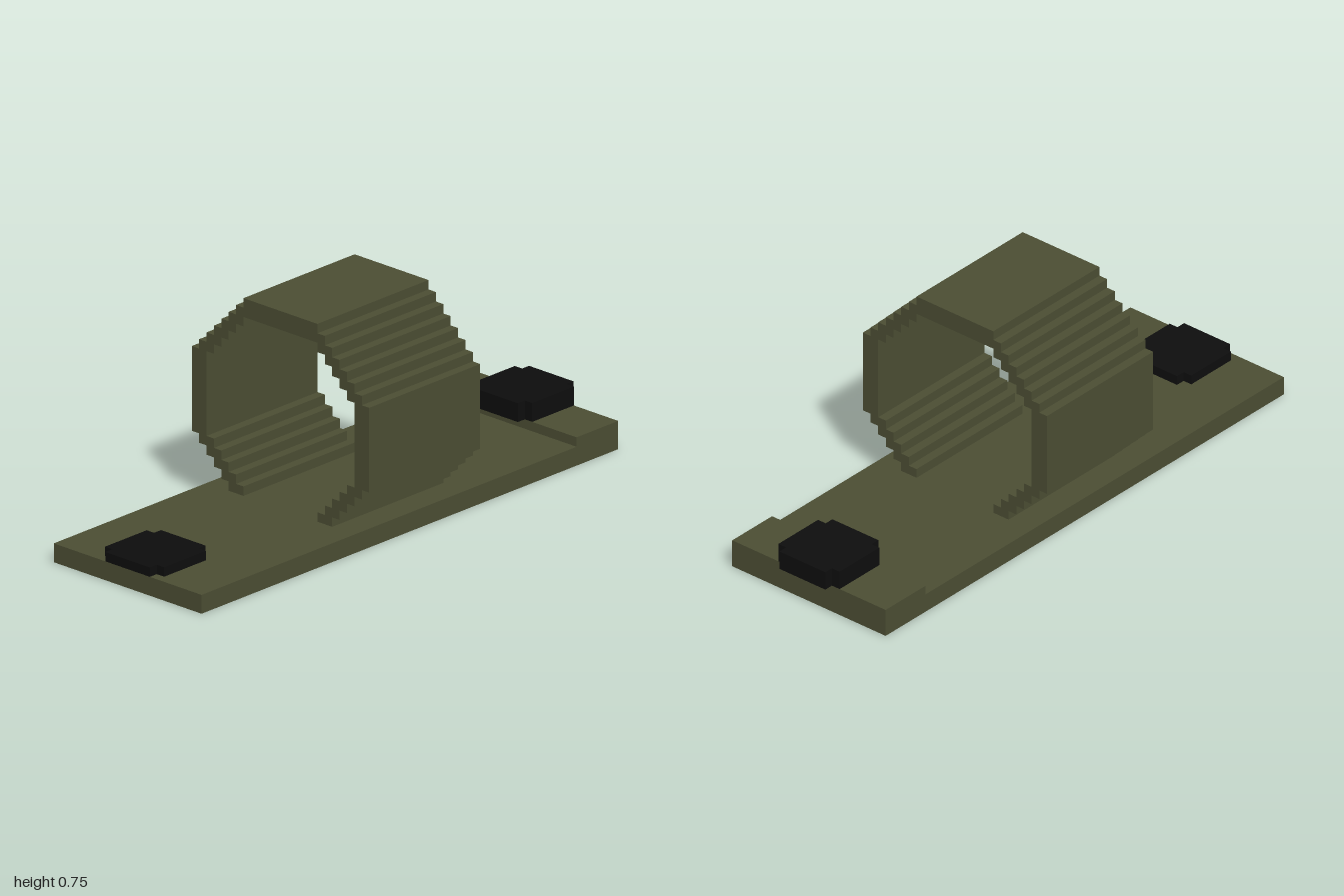
import * as THREE from 'three';

const U = 2 / 61; // one grid cell

export function createModel() {
  const olive = new THREE.MeshStandardMaterial({ color: 0x4b4d33 });
  olive.name = 'olive';
  const black = new THREE.MeshStandardMaterial({ color: 0x0d0d0d });
  black.name = 'black';

  const model = new THREE.Group();
  model.name = 'ringMount';

  // Extrude a closed outline given in grid cells
  const extrude = (name, points, depth, material) => {
    const shape = new THREE.Shape(points.map(([x, y]) => new THREE.Vector2(x * U, y * U)));
    const geometry = new THREE.ExtrudeGeometry(shape, { depth: depth * U, bevelEnabled: false });
    const mesh = new THREE.Mesh(geometry, material);
    mesh.name = name;
    model.add(mesh);
    return mesh;
  };

  // Base plate with a raised step at its left end
  const base = extrude('basePlate',
    [[0, 0], [60, 0], [60, 3], [54, 3], [54, 2], [0, 2]], 20, olive);
  base.position.set(-1, 0, -10 * U);

  // Stepped ring: half outlines as [distance from centre, height], bottom to top
  const staircase = (x, y, count, dx) => {
    const points = [];
    for (let i = 0; i < count; i++) {
      points.push([x + i * dx, y + i], [x + i * dx, y + i + 1]);
    }
    return points;
  };
  const outer = [
    ...staircase(7, 2, 5, 1), [12, 7], [12, 16],
    ...staircase(11, 16, 7, -1),
  ];
  const inner = [
    ...staircase(5, 2, 5, 1), [10, 7], [10, 16],
    ...staircase(9, 16, 5, -1),
  ];
  const mirror = (points) => points.map(([x, y]) => [-x, y]);
  const ring = extrude('steppedRing', [
    ...outer, ...mirror(outer).reverse(),
    ...mirror(inner), ...[...inner].reverse(),
  ], 16, olive);
  ring.rotation.y = Math.PI / 2;
  ring.position.x = -1 + 22 * U;

  // Black pads with notched corners, one at each end
  const padOutline = [
    [-4, -3], [-3, -3], [-3, -4], [3, -4], [3, -3], [4, -3],
    [4, 3], [3, 3], [3, 4], [-3, 4], [-3, 3], [-4, 3],
  ];
  for (const [name, centre, bottom, height] of [['rightPad', 4, 2, 1], ['leftPad', 57, 3, 2]]) {
    const pad = extrude(name, padOutline, height, black);
    pad.rotation.x = -Math.PI / 2;
    pad.position.set(-1 + centre * U, bottom * U, 0);
  }

  return model;
}
